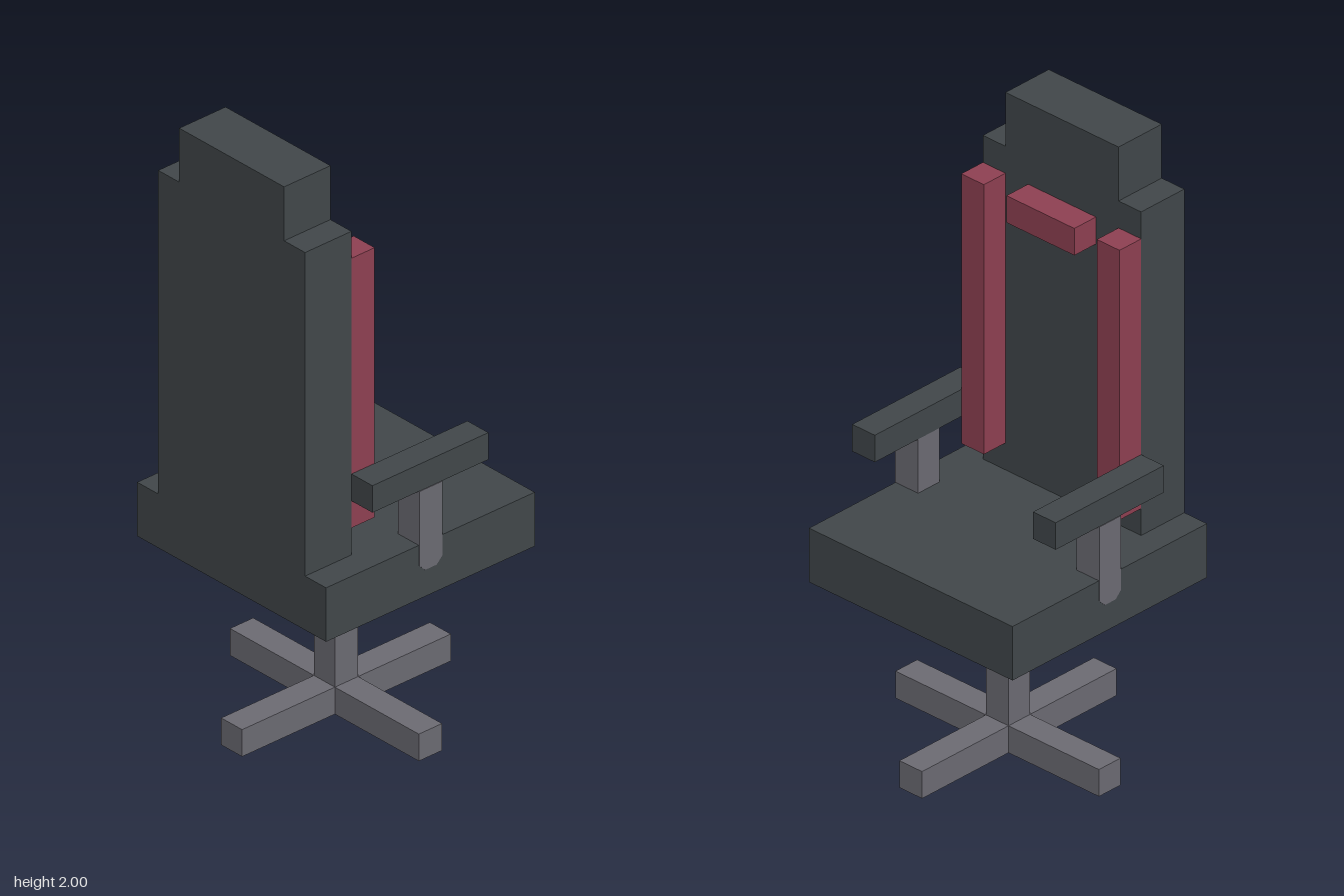
import * as THREE from 'three';

const U = 1 / 11; // building unit: the chair is 22 units tall

const material = (name, color) => {
  const m = new THREE.MeshStandardMaterial({ color });
  m.name = name;
  return m;
};

export function createModel() {
  const group = new THREE.Group();
  group.name = 'officeChair';
  const dark = material('charcoal', 0x42484b);
  const red = material('crimson', 0x904153);
  const grey = material('grey', 0x6d6c74);

  // Box given by its low and high corners, in building units
  const box = (name, mat, [x0, y0, z0], [x1, y1, z1]) => {
    const geo = new THREE.BoxGeometry((x1 - x0) * U, (y1 - y0) * U, (z1 - z0) * U);
    const mesh = new THREE.Mesh(geo, mat);
    mesh.name = name;
    mesh.position.set((x0 + x1) / 2 * U, (y0 + y1) / 2 * U, (z0 + z1) / 2 * U);
    group.add(mesh);
  };

  // Cross-shaped foot and column
  box('footBar', grey, [-4.5, 0, -0.5], [4.5, 1, 0.5]);
  box('footFront', grey, [-0.5, 0, 0.5], [0.5, 1, 4.5]);
  box('footBack', grey, [-0.5, 0, -4.5], [0.5, 1, -0.5]);
  box('column', grey, [-0.5, 1, -0.5], [0.5, 6, 0.5]);

  // Seat, backrest and headrest
  box('seat', dark, [-4.5, 6, -4.5], [4.5, 8, 4.5]);
  box('backrest', dark, [-3.5, 8, 2.5], [3.5, 20, 4.5]);
  box('headrest', dark, [-2.5, 20, 2.5], [2.5, 22, 4.5]);

  // Padding on the backrest
  box('neckPad', red, [-1.5, 18, 1.5], [1.5, 19, 2.5]);

  // Arm post outline: lower corners cut off, standing just proud of the seat side
  const outline = new THREE.Shape([
    [-0.5, 10], [-0.5, 7.25], [-0.25, 7], [0.25, 7], [0.5, 7.25], [0.5, 10],
  ].map(([z, y]) => new THREE.Vector2(z * U, y * U)));
  const postDepth = U + 0.002;
  const postGeo = new THREE.ExtrudeGeometry(outline, { depth: postDepth, bevelEnabled: false });
  postGeo.translate(0, 0, -postDepth / 2);
  postGeo.rotateY(Math.PI / 2);

  for (const [label, s] of [['left', 1], ['right', -1]]) {
    const span = (a, b) => (s > 0 ? [a, b] : [-b, -a]);
    const [p0, p1] = span(2.5, 3.5);
    box(label + 'SidePad', red, [p0, 9, 1.5], [p1, 19, 2.5]);
    const [a0, a1] = span(3.5, 4.5);
    box(label + 'Armrest', dark, [a0, 10, -2.5], [a1, 11, 2.5]);
    const post = new THREE.Mesh(postGeo, grey);
    post.name = label + 'ArmPost';
    post.position.x = s * (4 * U + 0.001);
    group.add(post);
  }
  return group;
}
